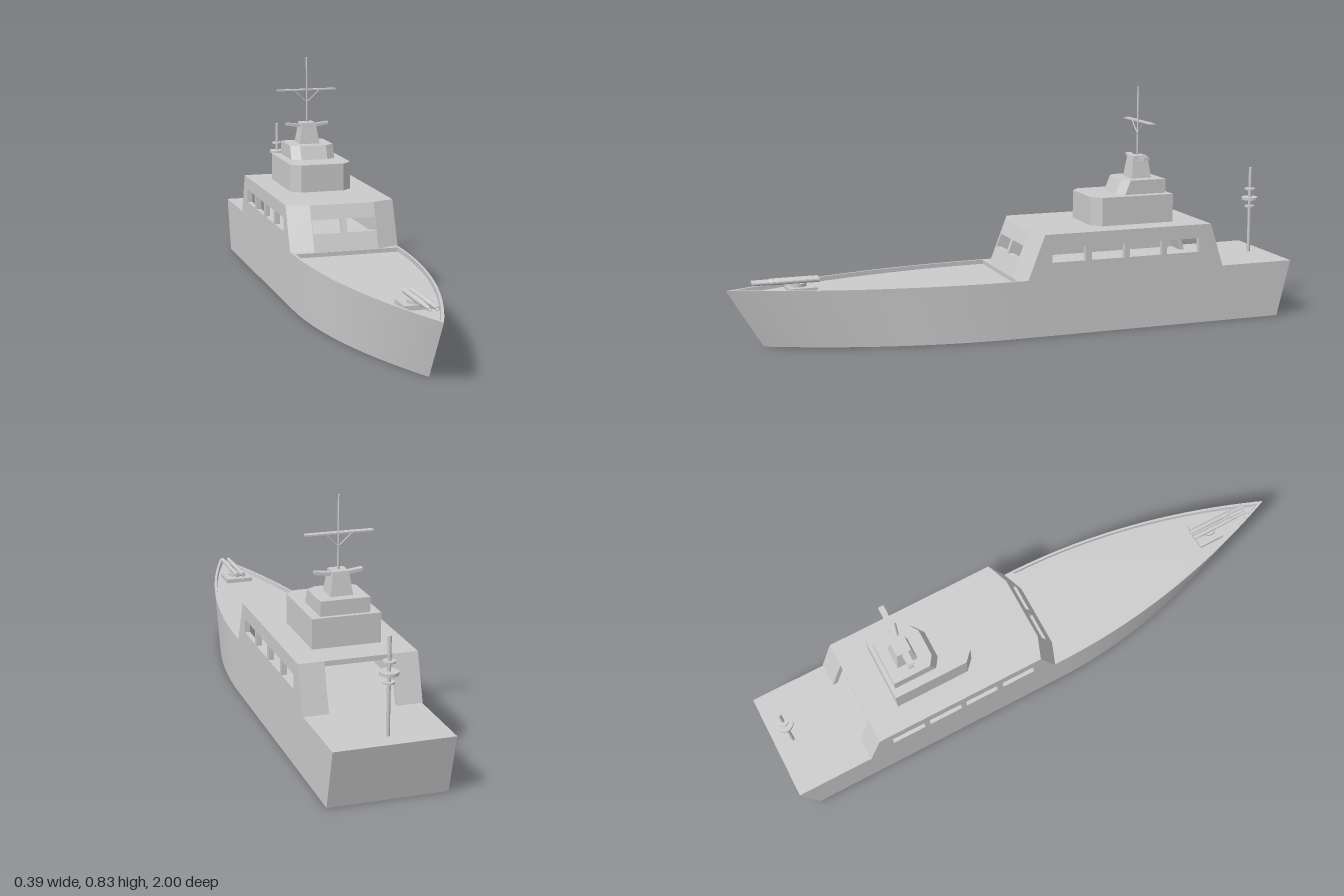
import * as THREE from 'three';
import { toCreasedNormals } from 'three/addons/utils/BufferGeometryUtils.js';

const material = new THREE.MeshStandardMaterial({ color: 0xcccccc, side: THREE.DoubleSide });

function add(parent, name, geometry, x = 0, y = 0, z = 0) {
  const mesh = new THREE.Mesh(geometry, material);
  mesh.name = name;
  mesh.position.set(x, y, z);
  parent.add(mesh);
  return mesh;
}

// Moves every vertex by a rule, then rebuilds the normals with sharp edges kept.
function warp(geometry, rule) {
  const p = geometry.attributes.position;
  const v = new THREE.Vector3();
  for (let i = 0; i < p.count; i++) {
    rule(v.fromBufferAttribute(p, i));
    p.setXYZ(i, v.x, v.y, v.z);
  }
  geometry.computeVertexNormals();
  return toCreasedNormals(geometry, 0.4);
}

const toPoints = (list) => list.map(([a, b]) => new THREE.Vector2(a, b));
const rect = (x0, x1, y0, y1) => [[x0, y0], [x1, y0], [x1, y1], [x0, y1]];

function extrude(points, depth, holes = []) {
  const shape = new THREE.Shape(toPoints(points));
  for (const hole of holes) shape.holes.push(new THREE.Path(toPoints(hole)));
  return new THREE.ExtrudeGeometry(shape, { depth, bevelEnabled: false });
}

// Horizontal slab from half an [x, z] outline, mirrored in x.
const mirror = (half) => [...half, ...half.filter(([x]) => x > 0).reverse().map(([x, z]) => [-x, z])];
function slab(half, y0, y1, holeHalf) {
  const flip = (h) => mirror(h).map(([x, z]) => [x, -z]);
  return extrude(flip(half), y1 - y0, holeHalf ? [flip(holeHalf)] : [])
    .rotateX(-Math.PI / 2).translate(0, y0, 0);
}

// Rod between two points.
function rod(parent, name, a, b, r) {
  const from = new THREE.Vector3(...a), to = new THREE.Vector3(...b);
  const dir = to.clone().sub(from);
  const mesh = add(parent, name, new THREE.CylinderGeometry(r, r, dir.length(), 12));
  mesh.position.copy(from).addScaledVector(dir, 0.5);
  mesh.quaternion.setFromUnitVectors(new THREE.Vector3(0, 1, 0), dir.normalize());
}

// Half outline of the bow, from the shoulder at z = start to the tip.
function bow(width, start, tip) {
  const half = [];
  for (let i = 0; i <= 28; i++) {
    const t = i / 28;
    half.push([width * (1 - t * t), start + (tip - start) * t]);
  }
  return half;
}

function buildHull() {
  const hull = new THREE.Group();
  hull.name = 'hull';
  // Bow and stern both rake inwards towards the keel.
  const rake = (v) => {
    const k = 1 - v.y / 0.2;
    if (v.z > 0.04) v.z = 0.04 + (v.z - 0.04) * (1 - 0.125 * k);
    else if (v.z < -0.5) v.z += 0.05 * k;
  };
  const outline = [[0.195, -1], ...bow(0.195, 0.035, 1)];
  add(hull, 'hullBody', warp(slab(outline, 0, 0.185), rake));
  // Upper layer: solid aft deck, thin bulwark around the sunken foredeck.
  add(hull, 'bulwarkAndAftDeck', warp(slab(outline, 0.185, 0.2, bow(0.186, 0.045, 0.975)), rake));
  return hull;
}

function buildCabin() {
  const cabin = new THREE.Group();
  cabin.name = 'cabin';
  const W = 0.197, C = 0.117, y0 = 0.2, y1 = 0.355, thick = 0.018;

  // Side walls with four windows each.
  const profile = [[0.01, y0], [-0.05, y1], [-0.675, y1], [-0.72, y0]];
  const windows = [-0.2, -0.345, -0.487, -0.63].map((z) => rect(z, z + 0.123, 0.257, 0.306));
  for (const x of [W, -W + thick]) {
    add(cabin, 'cabinSide', extrude(profile, thick, windows).rotateY(-Math.PI / 2), x);
  }

  // Front wall: leaning centre panel with two windows, and swept corner panels.
  const lean = (v) => {
    v.z += 0.04 - (v.y - y0) * 0.387 - Math.max(0, Math.abs(v.x) - C) * 0.375;
  };
  const frontWall = (x0, x1, holes) =>
    warp(extrude(rect(x0, x1, y0, y1), thick, holes).translate(0, 0, -thick), lean);
  add(cabin, 'cabinFront', frontWall(-C, C,
    [rect(-0.115, -0.01, 0.26, 0.306), rect(0.01, 0.115, 0.26, 0.306)]));
  add(cabin, 'cabinFrontCorner', frontWall(C, W));
  add(cabin, 'cabinFrontCorner', frontWall(-W, -C));

  // Rear panels on both sides of the wide doorway.
  for (const [x0, x1] of [[0.112, W], [-W, -0.112]]) {
    add(cabin, 'cabinRearPanel', warp(extrude(rect(x0, x1, y0, y1), thick),
      (v) => { v.z += -0.725 + (v.y - y0) * 0.32; }));
  }
  add(cabin, 'cabinRoof', slab([[W, -0.675], [W, -0.05], [C, -0.02]], 0.338, y1));
  return cabin;
}

function buildUpperDecks() {
  const decks = new THREE.Group();
  decks.name = 'upperDecks';
  add(decks, 'bridge', slab([[0.115, -0.565], [0.115, -0.295], [0.08, -0.262]], 0.355, 0.455));
  add(decks, 'lookout', warp(slab([[0.083, -0.55], [0.083, -0.395], [0.05, -0.372]], 0.455, 0.505),
    (v) => { if (v.z > -0.5) v.z -= (v.y - 0.455) * 0.4; }));

  // Tapered mast foot.
  add(decks, 'mastFoot', warp(new THREE.BoxGeometry(0.076, 0.078, 0.076).toNonIndexed(), (v) => {
    const k = 1 - 0.3 * (v.y / 0.078 + 0.5);
    v.x *= k;
    v.z *= k;
  }), 0, 0.544, -0.477);
  for (const s of [1, -1]) {
    const wing = [[0.024, 0.564], [0.08, 0.573], [0.08, 0.583], [0.024, 0.576]]
      .map(([x, y]) => [x * s, y]);
    add(decks, 'mastWing', extrude(wing, 0.02), 0, 0, -0.487);
  }

  // Mast with crossbar and braces.
  rod(decks, 'mast', [0, 0.575, -0.477], [0, 0.827, -0.477], 0.0035);
  add(decks, 'crossbar', new THREE.BoxGeometry(0.226, 0.005, 0.02), 0, 0.705, -0.483);
  for (const s of [1, -1]) {
    rod(decks, 'crossbarBrace', [0, 0.658, -0.477], [0.05 * s, 0.704, -0.477], 0.002);
  }
  return decks;
}

function buildSternPole() {
  const pole = new THREE.Group();
  pole.name = 'sternPole';
  pole.position.z = -0.935;
  rod(pole, 'pole', [0, 0.2, 0], [0, 0.515, 0], 0.006);
  for (const [y, r, h] of [[0.37, 0.018, 0.006], [0.4, 0.03, 0.01], [0.435, 0.02, 0.006]]) {
    add(pole, 'poleDisc', new THREE.CylinderGeometry(r, r, h, 24), 0, y);
  }
  return pole;
}

function buildGun() {
  const gun = new THREE.Group();
  gun.name = 'deckGun';
  add(gun, 'gunPlate', new THREE.BoxGeometry(0.1, 0.015, 0.095), 0, 0.1925, 0.75);
  add(gun, 'gunTurntable', new THREE.CylinderGeometry(0.029, 0.029, 0.011, 24), 0, 0.2055, 0.76);
  // Hollow barrels, a little wider at the breech.
  const section = toPoints([[0, 0], [0.009, 0], [0.009, 0.16], [0.007, 0.165],
    [0.007, 0.225], [0.005, 0.225], [0.005, 0.19], [0, 0.19]]);
  for (const s of [1, -1]) {
    const barrel = toCreasedNormals(new THREE.LatheGeometry(section, 16), 0.5);
    add(gun, 'gunBarrel', barrel.rotateX(Math.PI / 2), 0.012 * s, 0.219, 0.69);
  }
  return gun;
}

export function createModel() {
  const boat = new THREE.Group();
  boat.name = 'patrolBoat';
  boat.add(buildHull(), buildCabin(), buildUpperDecks(), buildSternPole(), buildGun());
  return boat;
}
